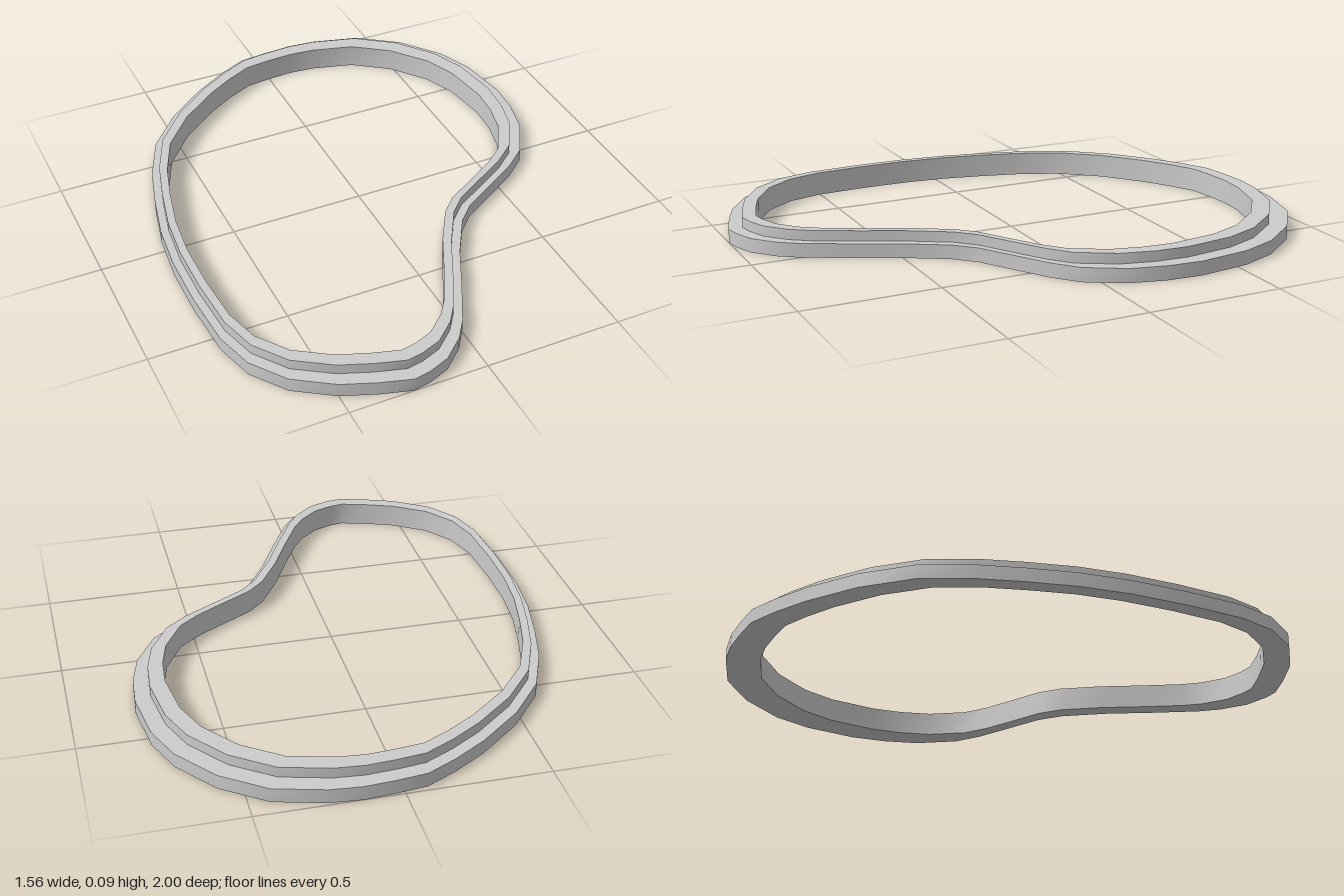
import * as THREE from 'three';
import { toCreasedNormals } from 'three/addons/utils/BufferGeometryUtils.js';

// Outer outline in plan (x, z), clockwise seen from above
const OUTLINE = [
  [-0.08, -0.98], [0.03, -0.993], [0.14, -1.0], [0.25, -0.99], [0.43, -0.94], [0.58, -0.83],
  [0.695, -0.68], [0.75, -0.54], [0.777, -0.34], [0.767, -0.21], [0.735, -0.08], [0.655, 0.06],
  [0.57, 0.13], [0.48, 0.185], [0.32, 0.28], [0.25, 0.35], [0.16, 0.5], [0.08, 0.665],
  [0.0, 0.82], [-0.05, 0.89], [-0.13, 0.96], [-0.21, 0.99], [-0.27, 1.0], [-0.38, 0.967],
  [-0.5, 0.92], [-0.635, 0.83], [-0.725, 0.705], [-0.765, 0.56], [-0.778, 0.34], [-0.777, 0.135],
  [-0.758, -0.05], [-0.72, -0.225], [-0.675, -0.39], [-0.6, -0.565], [-0.47, -0.72],
  [-0.31, -0.85], [-0.19, -0.925],
];

// Stepped section: [scale of the outline, height]
const SECTION = [[1, 0], [1, 0.052], [0.945, 0.052], [0.945, 0.09], [0.89, 0.09], [0.89, 0]];

// Point the outline shrinks towards
const PIVOT = [-0.25, 0.06];

export function createModel() {
  const n = OUTLINE.length;
  const m = SECTION.length;
  const positions = [];
  const indices = [];

  OUTLINE.forEach(([x, z], i) => {
    SECTION.forEach(([s, y], j) => {
      positions.push(PIVOT[0] + (x - PIVOT[0]) * s, y, PIVOT[1] + (z - PIVOT[1]) * s);
      const next = ((i + 1) % n) * m;
      const k = (j + 1) % m;
      const a = i * m + j, b = next + j, c = i * m + k, d = next + k;
      indices.push(a, c, b, b, c, d);
    });
  });

  const geometry = new THREE.BufferGeometry();
  geometry.setAttribute('position', new THREE.Float32BufferAttribute(positions, 3));
  geometry.setIndex(indices);

  // Closed kidney-shaped rim with a raised inner lip
  const rim = new THREE.Mesh(
    toCreasedNormals(geometry, 0.7),
    new THREE.MeshStandardMaterial({ color: 0xcccccc })
  );
  rim.name = 'steppedRim';

  const group = new THREE.Group();
  group.name = 'kidneyRing';
  group.add(rim);
  return group;
}
